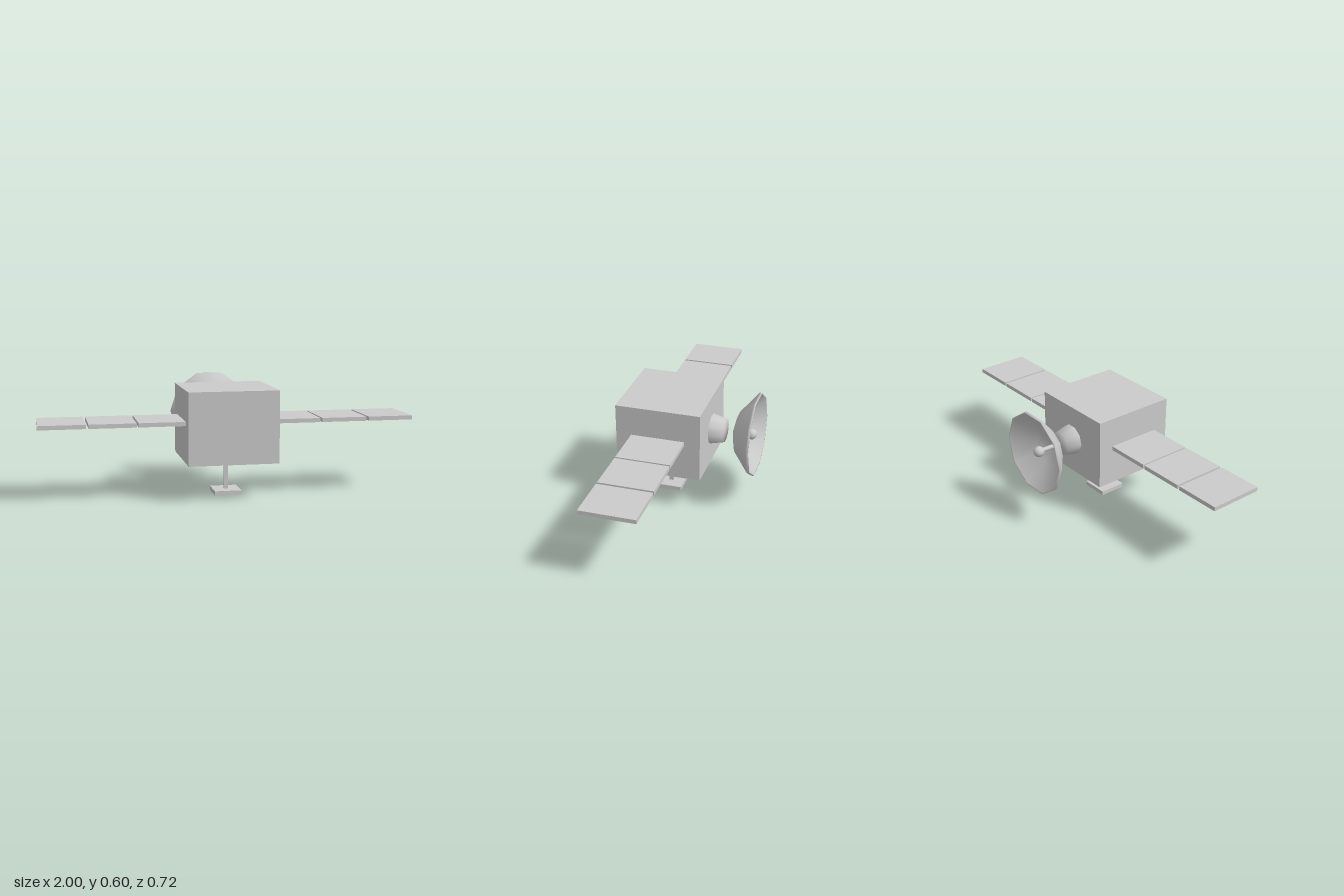
import * as THREE from 'three';

const material = new THREE.MeshStandardMaterial({ color: 0xcccccc });
const AXIS_Y = 0.385; // height of the dish axis
const SIDES = 10;

function add(parent, name, geometry) {
  const mesh = new THREE.Mesh(geometry, material);
  mesh.name = name;
  parent.add(mesh);
  return mesh;
}

// Box given by its extents on each axis
function box(parent, name, [x0, x1], [y0, y1], [z0, z1]) {
  const mesh = add(parent, name, new THREE.BoxGeometry(x1 - x0, y1 - y0, z1 - z0));
  mesh.position.set((x0 + x1) / 2, (y0 + y1) / 2, (z0 + z1) / 2);
  return mesh;
}

// Turned part along the backward axis; points are [radius, distance behind the centre]
function turned(parent, name, points) {
  const profile = points.map(([r, d]) => new THREE.Vector2(r, d));
  const geometry = new THREE.LatheGeometry(profile, SIDES, Math.PI / 2);
  geometry.rotateX(-Math.PI / 2);
  const mesh = add(parent, name, geometry);
  mesh.position.y = AXIS_Y;
  return mesh;
}

export function createModel() {
  const model = new THREE.Group();
  model.name = 'satellite';

  // Main body
  box(model, 'body', [-0.24, 0.24], [0.193, 0.577], [-0.104, 0.36]);

  // Three solar panels on each side, with narrow gaps
  for (const side of [-1, 1]) {
    const wing = new THREE.Group();
    wing.name = side > 0 ? 'leftSolarWing' : 'rightSolarWing';
    model.add(wing);
    [[0.23, 0.485], [0.495, 0.741], [0.754, 1]].forEach(([a, b], i) => {
      const xs = side > 0 ? [a, b] : [-b, -a];
      box(wing, `solarPanel${i + 1}`, xs, [0.392, 0.414], [-0.019, 0.276]);
    });
  }

  // Post and plate below the body
  box(model, 'sensorPost', [-0.01, 0.01], [0.02, 0.2], [0.117, 0.139]);
  box(model, 'sensorPlate', [-0.073, 0.073], [0, 0.023], [0.055, 0.202]);

  // Tapered mount on the back of the body
  turned(model, 'dishMount', [[0.085, 0.1], [0.066, 0.181], [0, 0.181]]);

  // Dish: outer shell, rim, then inner bowl
  turned(model, 'dish', [
    [0, 0.222], [0.114, 0.252], [0.229, 0.347], [0.229, 0.36],
    [0.222, 0.36], [0.11, 0.262], [0, 0.231],
  ]);

  // Feed stem and knob inside the dish
  turned(model, 'feedStem', [[0.012, 0.225], [0.012, 0.315]]);
  const knob = add(model, 'feedKnob', new THREE.SphereGeometry(0.03, SIDES, 8));
  knob.rotation.x = -Math.PI / 2;
  knob.position.set(0, AXIS_Y, -0.325);

  return model;
}
